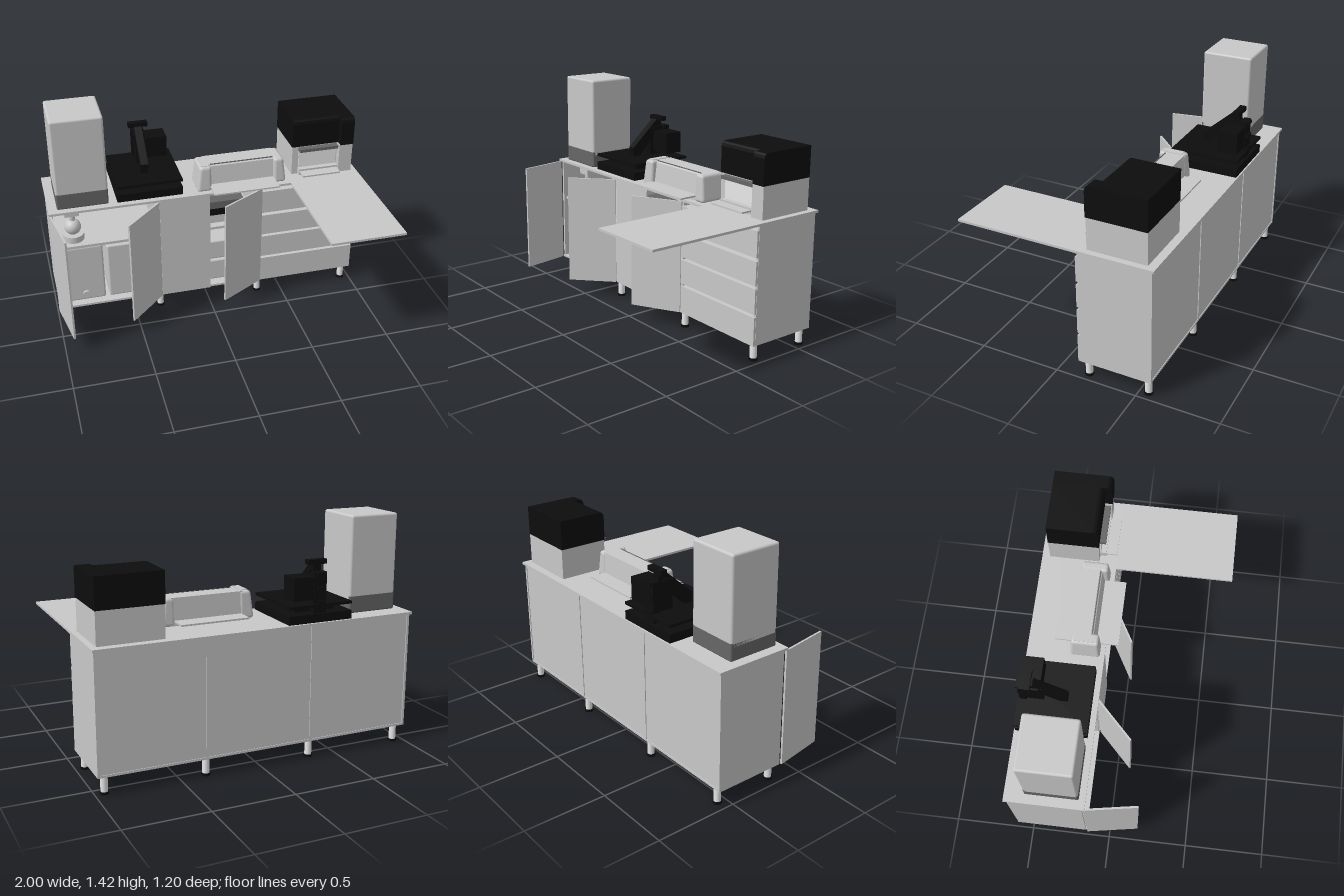
import * as THREE from 'three';
import { RoundedBoxGeometry } from 'three/addons/geometries/RoundedBoxGeometry.js';

const mat = (name, color) => new THREE.MeshStandardMaterial({ name, color });

export function createModel() {
  const grey = mat('light grey', 0xc8c8c8);
  const dark = mat('dark grey', 0x666666);
  const black = mat('black', 0x0d0d0d);
  const white = mat('off white', 0xeeeeee);
  const root = new THREE.Group();
  root.name = 'craftWorkstation';

  const group = (name) => {
    const g = new THREE.Group();
    g.name = name;
    root.add(g);
    return g;
  };
  const add = (parent, name, geo, m) => {
    const mesh = new THREE.Mesh(geo, m);
    mesh.name = name;
    parent.add(mesh);
    return mesh;
  };
  // Box given by its limits on each axis
  const box = (p, name, m, x0, x1, y0, y1, z0, z1, r = 0) => {
    const s = [x1 - x0, y1 - y0, z1 - z0];
    const geo = r ? new RoundedBoxGeometry(...s, 3, r) : new THREE.BoxGeometry(...s);
    const mesh = add(p, name, geo, m);
    mesh.position.set((x0 + x1) / 2, (y0 + y1) / 2, (z0 + z1) / 2);
    return mesh;
  };
  const cyl = (p, name, m, rt, rb, x, y0, y1, z) => {
    const mesh = add(p, name, new THREE.CylinderGeometry(rt, rb, y1 - y0, 24), m);
    mesh.position.set(x, (y0 + y1) / 2, z);
    return mesh;
  };
  // Profile of [z, y] points extruded along x
  const profile = (p, name, m, x0, x1, pts) => {
    const shape = new THREE.Shape(pts.map(([z, y]) => new THREE.Vector2(-z, y)));
    const geo = new THREE.ExtrudeGeometry(shape, { depth: x1 - x0, bevelEnabled: false });
    geo.rotateY(Math.PI / 2);
    const mesh = add(p, name, geo, m);
    mesh.position.x = x0;
    return mesh;
  };

  // Cabinet carcass
  const cab = group('cabinet');
  [[-0.99, -0.975], [-0.33, -0.315], [0.335, 0.35], [0.975, 0.99]].forEach(([a, b]) =>
    box(cab, 'uprightPanel', grey, a, b, 0.107, 0.817, -0.59, -0.15));
  box(cab, 'bottomPanel', grey, -0.988, 0.988, 0.106, 0.12, -0.589, -0.145);
  box(cab, 'backPanel', grey, -0.975, 0.975, 0.12, 0.817, -0.585, -0.572);
  box(cab, 'leftShelf', grey, -0.975, -0.33, 0.537, 0.555, -0.572, -0.17);
  box(cab, 'middleShelf', grey, -0.315, 0.335, 0.537, 0.555, -0.572, -0.17);
  box(cab, 'worktop', grey, -1, 1, 0.817, 0.832, -0.603, -0.13);
  box(cab, 'worktopExtension', grey, 0.535, 1, 0.818, 0.832, -0.13, 0.6);

  // Doors, from hinge to free edge
  const doors = group('doors');
  [[-0.993, -0.14, -0.938, 0.178], [-0.325, -0.135, -0.553, 0.088],
    [-0.319, -0.142, 0.004, -0.142], [0.344, -0.137, 0.06, 0.023]].forEach(([x0, z0, x1, z1]) => {
    const d = add(doors, 'door', new THREE.BoxGeometry(Math.hypot(x1 - x0, z1 - z0), 0.709, 0.012), grey);
    d.position.set((x0 + x1) / 2, 0.461, (z0 + z1) / 2);
    d.rotation.y = Math.atan2(z0 - z1, x1 - x0);
  });

  // Drawer fronts with finger gaps, and trays behind
  const drawers = group('drawers');
  [[0.106, 0.28], [0.297, 0.45], [0.467, 0.611], [0.632, 0.788]].forEach(([a, b]) => {
    box(drawers, 'drawerFront', grey, 0.346, 0.988, a, b, -0.15, -0.137);
    box(drawers, 'drawerTray', grey, 0.355, 0.97, a + 0.02, b, -0.56, -0.15);
  });

  // Legs
  const legs = group('legs');
  [-0.933, -0.328, 0.34, 0.945].forEach((x) => [-0.183, -0.555].forEach((z) => {
    cyl(legs, 'leg', white, 0.021, 0.021, x, 0.014, 0.107, z);
    cyl(legs, 'foot', black, 0.026, 0.026, x, 0, 0.015, z);
  }));

  // Tall appliance with dark base band
  const tower = group('towerAppliance');
  box(tower, 'towerBody', grey, -0.945, -0.628, 0.9, 1.42, -0.486, -0.168, 0.014);
  box(tower, 'towerBase', dark, -0.945, -0.628, 0.832, 0.942, -0.4865, -0.1675, 0.01);

  // Heat press
  const press = group('heatPress');
  box(press, 'pressBase', black, -0.575, -0.162, 0.834, 0.885, -0.595, -0.165);
  box(press, 'pressRiser', black, -0.5, -0.24, 0.885, 0.925, -0.52, -0.24);
  box(press, 'pressPlate', black, -0.575, -0.162, 0.924, 0.941, -0.595, -0.165);
  box(press, 'pressColumn', black, -0.4, -0.348, 0.94, 1.12, -0.55, -0.44);
  profile(press, 'pressArm', black, -0.398, -0.35,
    [[-0.3, 0.94], [-0.3, 1.0], [-0.49, 1.17], [-0.53, 1.17], [-0.53, 1.12], [-0.35, 0.94]]);
  box(press, 'pressHandle', black, -0.432, -0.31, 1.162, 1.19, -0.54, -0.5);
  box(press, 'handleBar', black, -0.41, -0.335, 1.11, 1.126, -0.51, -0.46);
  box(press, 'controlBox', black, -0.335, -0.2, 0.965, 1.1, -0.575, -0.455);
  box(press, 'backBracket', black, -0.41, -0.33, 0.86, 1.125, -0.58, -0.54);
  [0.95, 1.03, 1.115].forEach((y) =>
    box(press, 'backBolt', black, -0.4, -0.345, y - 0.01, y + 0.008, -0.592, -0.57));

  // Cutting machine: tapered end caps, sunken middle, paper trays
  const cutter = group('cuttingMachine');
  const cap = (x0, x1, outer) => {
    const geo = new RoundedBoxGeometry(x1 - x0, 0.166, 0.182, 3, 0.018);
    const p = geo.attributes.position;
    for (let i = 0; i < p.count; i++) {
      const t = p.getY(i) / 0.166 + 0.5;
      if (p.getX(i) * outer > 0) p.setX(i, p.getX(i) - outer * 0.02 * t);
      p.setZ(i, p.getZ(i) * (1 - 0.1 * t));
    }
    geo.computeVertexNormals();
    add(cutter, 'endCap', geo, grey).position.set((x0 + x1) / 2, 0.915, -0.248);
  };
  cap(-0.07, 0.022, -1);
  cap(0.43, 0.51, 1);
  profile(cutter, 'cutterBody', grey, 0.0, 0.45, [[-0.335, 0.834], [-0.168, 0.834], [-0.168, 0.855],
    [-0.185, 0.86], [-0.2, 0.985], [-0.215, 0.997], [-0.325, 0.997]]);
  box(cutter, 'lidSeam', dark, 0.022, 0.43, 0.993, 0.998, -0.212, -0.206);
  box(cutter, 'controlPanel', grey, -0.038, 0.008, 0.995, 1.001, -0.31, -0.185);
  box(cutter, 'frontTray', grey, 0.013, 0.433, 0.856, 0.866, -0.2, -0.053);
  box(cutter, 'backTray', grey, 0.013, 0.433, 0.856, 0.866, -0.44, -0.32);

  // Printer: recessed paper outlet on one side, full-depth block on the other
  const printer = group('printer');
  box(printer, 'printerBody', grey, 0.573, 0.963, 0.832, 1.025, -0.553, -0.24);
  box(printer, 'sideBlock', grey, 0.875, 0.963, 0.832, 1.025, -0.24, -0.195);
  box(printer, 'outletFrame', grey, 0.612, 0.87, 0.84, 0.88, -0.24, -0.2);
  box(printer, 'outletPanel', white, 0.615, 0.868, 0.88, 1.0, -0.24, -0.233);
  box(printer, 'outletHood', dark, 0.612, 0.868, 1.0, 1.02, -0.24, -0.2);
  box(printer, 'paperTray', grey, 0.615, 0.865, 0.858, 0.868, -0.24, -0.132);
  const hood = (x0, x1, zf) => profile(printer, 'printerHood', black, x0, x1,
    [[-0.553, 1.025], [zf, 1.025], [zf, 1.18], [zf - 0.005, 1.197], [zf - 0.014, 1.207],
      [zf - 0.03, 1.21], [-0.553, 1.21]]);
  hood(0.57, 0.88, -0.238);
  hood(0.88, 0.965, -0.19);

  // Things stored behind the open doors
  const stored = group('storedItems');
  const bin = (x0, x1, y1) => box(stored, 'storageBin', grey, x0, x1, 0.122, y1, -0.55, -0.19, 0.012);
  bin(-0.94, -0.685, 0.527);
  bin(-0.66, -0.36, 0.51);
  cyl(stored, 'binKnob', grey, 0.025, 0.025, -0.808, 0, 0.016, 0).rotation.x = Math.PI / 2;
  stored.children.at(-1).position.set(-0.808, 0.17, -0.184);
  cyl(stored, 'standBase', grey, 0.068, 0.068, -0.853, 0.555, 0.597, -0.27);
  add(stored, 'standBulb', new THREE.SphereGeometry(0.052, 24, 16), grey).position.set(-0.853, 0.643, -0.27);
  cyl(stored, 'standPost', grey, 0.018, 0.018, -0.853, 0.65, 0.803, -0.27);
  box(stored, 'standHead', grey, -0.9, -0.81, 0.73, 0.775, -0.3, -0.24);
  box(stored, 'smallDevice', black, -0.2, 0.25, 0.612, 0.66, -0.5, -0.22);
  box(stored, 'smallDeviceLid', dark, -0.2, 0.25, 0.66, 0.71, -0.5, -0.22);
  box(stored, 'deviceStand', grey, -0.2, 0.25, 0.555, 0.612, -0.5, -0.22);
  [[0.122, 0.275], [0.285, 0.425]].forEach(([a, b]) =>
    box(stored, 'middleBin', grey, -0.28, 0.3, a, b, -0.55, -0.2, 0.012));

  return root;
}
